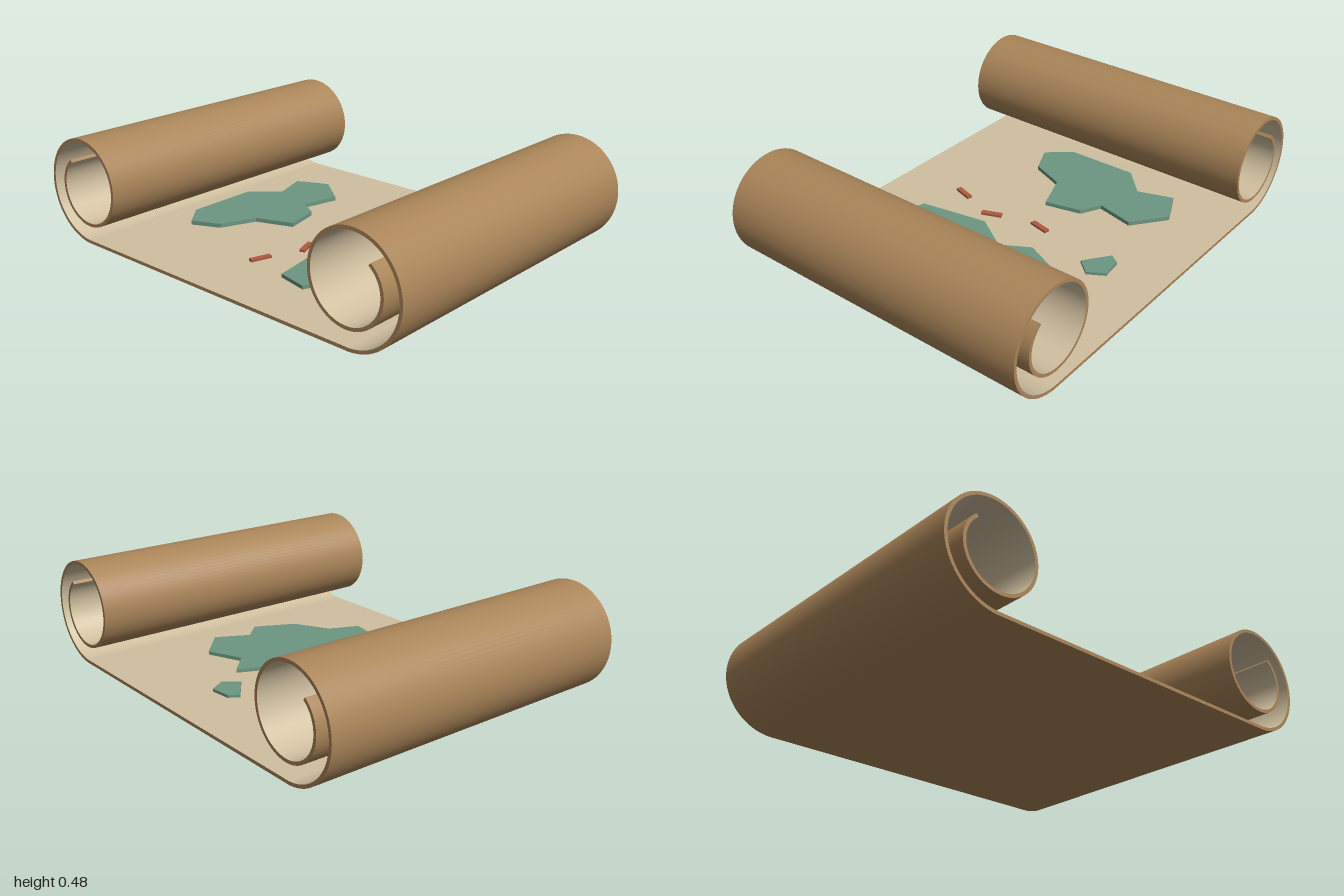
import * as THREE from 'three';

const HALF_DEPTH = 0.75, THICK = 0.015;
const material = (color) => new THREE.MeshStandardMaterial({ color });

// Smooth surface stretched between two polylines of equal length
function strip(a, b) {
  const pos = [], index = [];
  a.forEach((p, i) => {
    pos.push(...p, ...b[i]);
    if (i < a.length - 1) {
      const k = i * 2;
      index.push(k, k + 2, k + 1, k + 1, k + 2, k + 3);
    }
  });
  const g = new THREE.BufferGeometry();
  g.setAttribute('position', new THREE.Float32BufferAttribute(pos, 3));
  g.setIndex(index);
  g.computeVertexNormals();
  return g;
}

// Centre line of the sheet: flat middle, curling into a shrinking spiral at each end
function sheetPath() {
  const cx = 0.764, cy = 0.26, r0 = cy - THICK / 2, turn = 498, steps = 110;
  const half = [];
  for (let i = 0; i <= steps; i++) {
    const t = (i / steps) * turn, a = THREE.MathUtils.degToRad(t - 90);
    const r = r0 - 0.0207 * (t / 90);
    half.push(new THREE.Vector2(cx + r * Math.cos(a), cy + r * Math.sin(a)));
  }
  const mirrored = half.map((p) => new THREE.Vector2(-p.x, p.y)).reverse();
  return [...mirrored, ...half];
}

function createSheet() {
  const sheet = new THREE.Group();
  sheet.name = 'scrollSheet';
  const path = sheetPath();

  // Offset the centre line by half the thickness to either side
  const offset = (d) => path.map((p, i) => {
    const t = path[Math.min(i + 1, path.length - 1)].clone().sub(path[Math.max(i - 1, 0)]).normalize();
    return [p.x - t.y * d, p.y + t.x * d];
  });
  const inner = offset(THICK / 2), outer = offset(-THICK / 2);
  const at = (line, z) => line.map(([x, y]) => [x, y, z]);
  const iF = at(inner, HALF_DEPTH), iB = at(inner, -HALF_DEPTH);
  const oF = at(outer, HALF_DEPTH), oB = at(outer, -HALF_DEPTH);
  const n = path.length - 1;

  const brown = material(0xaa8558), parchment = material(0xd0c0a0);
  const add = (name, a, b, mat) => {
    const mesh = new THREE.Mesh(strip(a, b), mat);
    mesh.name = name;
    sheet.add(mesh);
  };
  add('parchmentFace', iF, iB, parchment);
  add('leatherBacking', oB, oF, brown);
  add('frontEdge', oF, iF, brown);
  add('backEdge', iB, oB, brown);
  add('leftRollEnd', [oF[n], oB[n]], [iF[n], iB[n]], brown);
  add('rightRollEnd', [oB[0], oF[0]], [iB[0], iF[0]], brown);
  return sheet;
}

// Flat land plate from an outline of [x, z] points
function createLand(name, outline, top, mat) {
  const shape = new THREE.Shape(outline.map(([x, z]) => new THREE.Vector2(x, -z)));
  const base = THICK - 0.002;
  const g = new THREE.ExtrudeGeometry(shape, { depth: top - base, bevelEnabled: false });
  g.rotateX(-Math.PI / 2);
  g.translate(0, base, 0);
  const mesh = new THREE.Mesh(g, mat);
  mesh.name = name;
  return mesh;
}

export function createModel() {
  const model = new THREE.Group();
  model.name = 'mapScroll';
  model.add(createSheet());

  // Land masses
  const green = material(0x6c9682);
  model.add(createLand('westLand', [
    [-0.6, -0.42], [-0.45, -0.49], [-0.295, -0.37], [-0.335, -0.19], [-0.24, -0.14], [-0.2, 0.03],
    [-0.375, 0.095], [-0.44, 0.26], [-0.57, 0.32], [-0.665, 0.21], [-0.67, -0.135], [-0.545, -0.255],
  ], 0.034, green));
  model.add(createLand('eastLand', [
    [0.2, -0.31], [0.305, -0.21], [0.47, -0.28], [0.615, -0.15], [0.535, 0], [0.62, 0.09], [0.53, 0.27],
    [0.365, 0.36], [0.305, 0.5], [0.16, 0.47], [0.1, 0.15], [0.205, -0.02], [0.13, -0.15],
  ], 0.031, green));
  model.add(createLand('island', [
    [-0.04, -0.455], [-0.01, -0.5], [0.085, -0.51], [0.13, -0.435], [0.075, -0.37],
  ], 0.028, green));

  // Dashed route: centre x, centre z, turn about y
  const red = material(0xb05a40);
  [[-0.032, -0.065, -0.2], [0.02, 0.175, 0.37], [-0.04, 0.395, -0.29]].forEach(([x, z, turn], i) => {
    const dash = new THREE.Mesh(new THREE.BoxGeometry(0.025, 0.013, 0.097), red);
    dash.name = `routeDash${i + 1}`;
    dash.position.set(x, 0.0195, z);
    dash.rotation.y = turn;
    model.add(dash);
  });
  return model;
}
